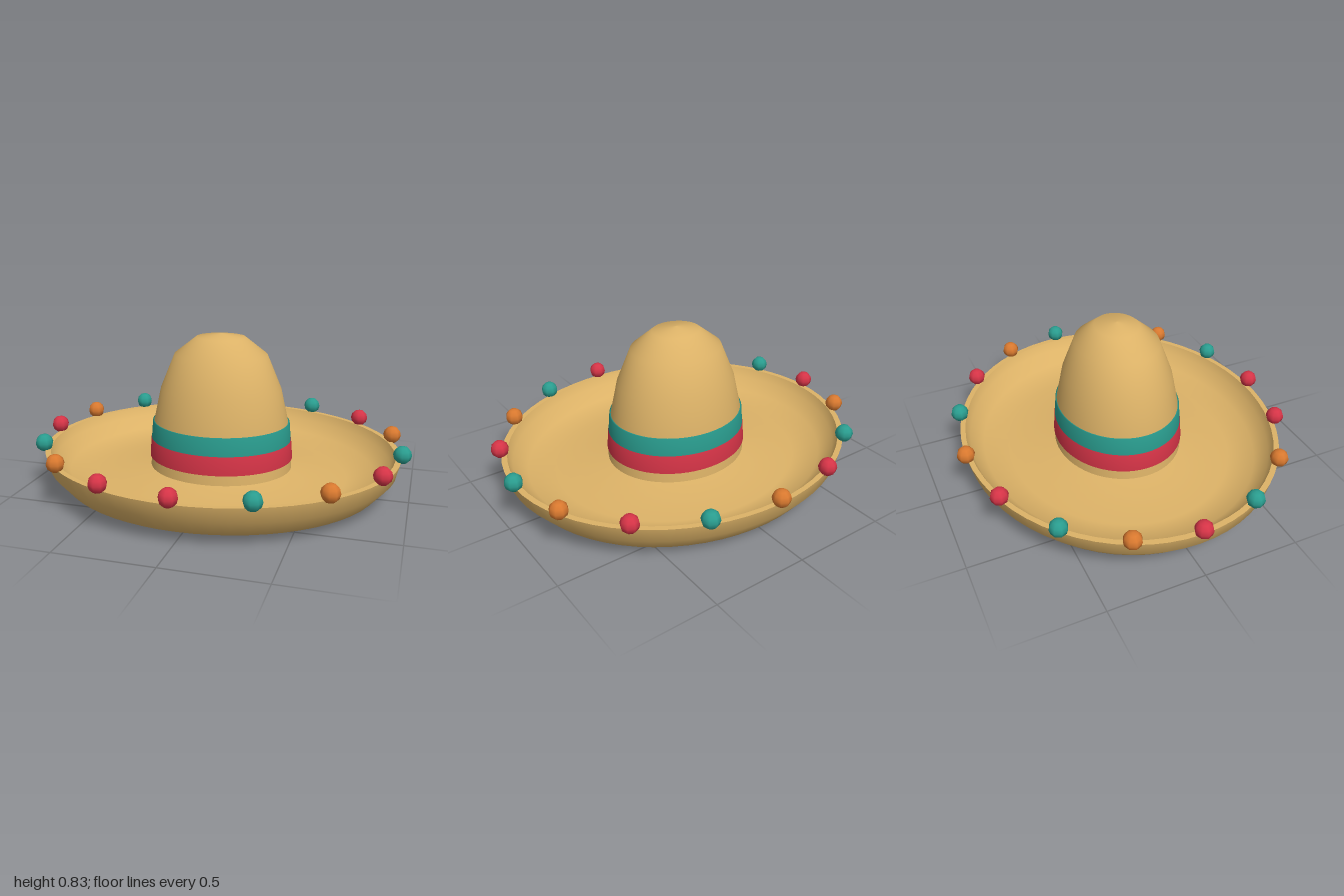
import * as THREE from 'three';

const DEPTH = 0.88; // the hat is oval: narrower front to back
const SEGMENTS = 64;

const mat = (name, color) => {
  const m = new THREE.MeshStandardMaterial({ color });
  m.name = name;
  return m;
};

export function createModel() {
  const straw = mat('straw', 0xdcb267);
  const teal = mat('teal', 0x2a9d8f);
  const red = mat('red', 0xd63447);
  const orange = mat('orange', 0xd9792f);
  const hat = new THREE.Group();
  hat.name = 'hat';

  // Turned surface with an oval plan
  function turned(name, profile, material) {
    const geo = new THREE.LatheGeometry(profile.map(([r, y]) => new THREE.Vector2(r, y)), SEGMENTS);
    geo.scale(1, 1, DEPTH);
    const n = geo.attributes.normal;
    const v = new THREE.Vector3();
    for (let i = 0; i < n.count; i++) {
      v.fromBufferAttribute(n, i).normalize();
      n.setXYZ(i, v.x, v.y, v.z);
    }
    const mesh = new THREE.Mesh(geo, material);
    mesh.name = name;
    hat.add(mesh);
  }

  // Brim: closed underside, upturned outside, flat lip and bowl-shaped top
  turned('brimBase', [[0, 0.06], [0.38, 0.06]], straw);
  turned('brimUnderside', [[0.38, 0.06], [0.68, 0], [0.85, 0.05], [0.93, 0.14], [0.95, 0.22]], straw);
  turned('brimLip', [[0.95, 0.22], [0.92, 0.22]], straw);
  turned('brimTop', [[0.92, 0.22], [0.895, 0.17], [0.82, 0.11], [0.67, 0.07], [0.36, 0.12]], straw);

  // Crown
  turned('crown', [[0.382, 0.11], [0.36, 0.36], [0.32, 0.54], [0.245, 0.72], [0.13, 0.81], [0, 0.83]], straw);

  // Bands around the crown
  turned('lowerBand', [[0.376, 0.17], [0.385, 0.17], [0.377, 0.268], [0.367, 0.268]], red);
  turned('upperBand', [[0.367, 0.268], [0.375, 0.268], [0.367, 0.363], [0.358, 0.363]], teal);

  // Pompoms around the rim, from the left side toward the front
  const colours = { T: teal, R: red, O: orange };
  const ball = new THREE.SphereGeometry(0.047, 8, 6);
  const pompoms = new THREE.Group();
  pompoms.name = 'pompoms';
  [...'TROTRROTROTROTRO'].forEach((key, i) => {
    const a = (i / 16) * Math.PI * 2;
    const pompom = new THREE.Mesh(ball, colours[key]);
    pompom.name = 'pompom';
    pompom.position.set(Math.cos(a) * 0.953, 0.255, Math.sin(a) * 0.953 * DEPTH);
    pompoms.add(pompom);
  });
  hat.add(pompoms);
  return hat;
}
